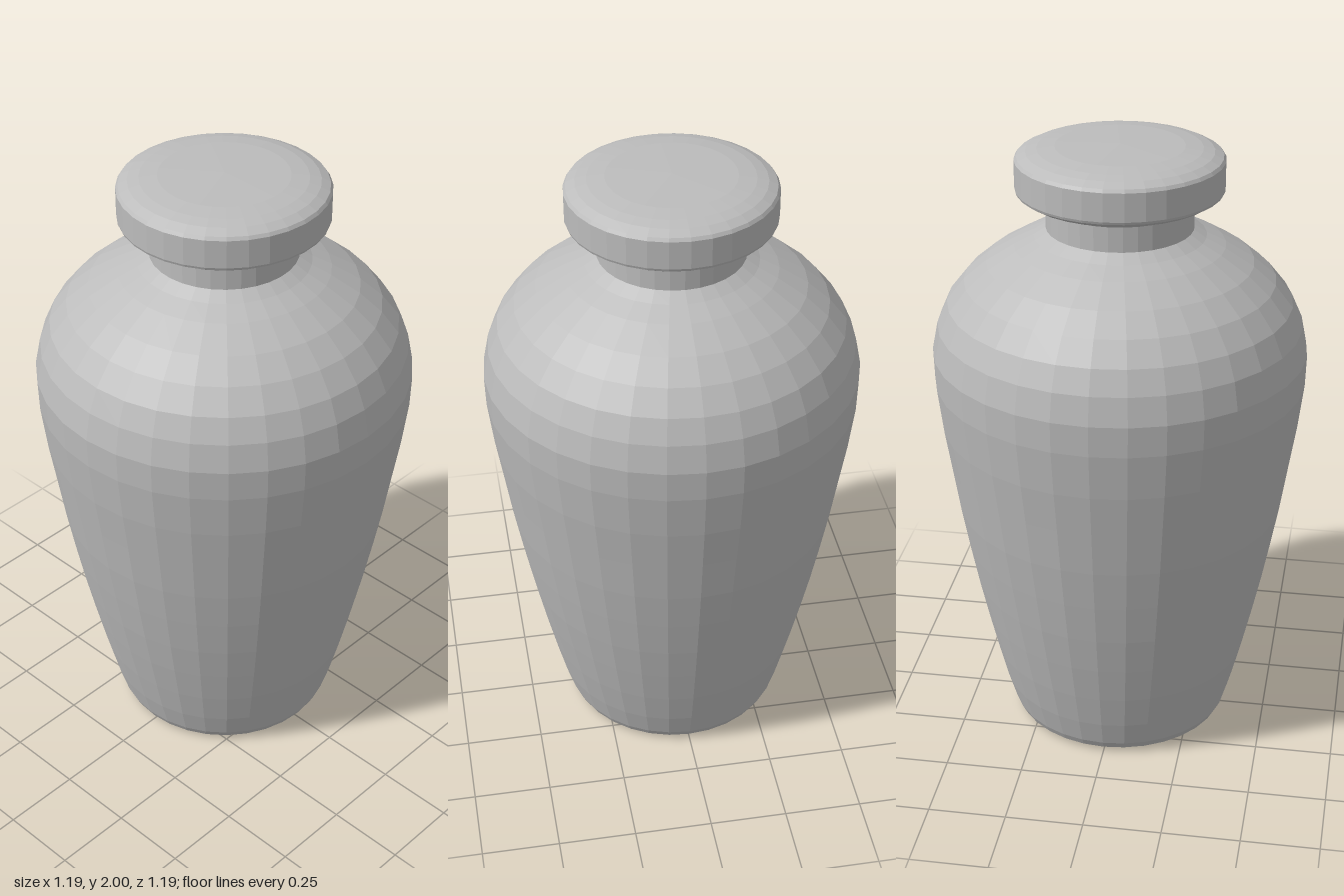
import * as THREE from 'three';

const SIDES = 32;

// Faceted solid of revolution from [radius, height] pairs, bottom to top
function turned(name, profile, material) {
  const points = profile.map(([r, y]) => new THREE.Vector2(r, y));
  const geometry = new THREE.LatheGeometry(points, SIDES).toNonIndexed();
  geometry.computeVertexNormals();
  const mesh = new THREE.Mesh(geometry, material);
  mesh.name = name;
  return mesh;
}

export function createModel() {
  const grey = new THREE.MeshStandardMaterial({ color: 0xbcbcbc });
  grey.name = 'grey';

  const model = new THREE.Group();
  model.name = 'urn';

  // Tapered body: flat foot, rounded shoulder
  model.add(turned('body', [
    [0, 0], [0.33, 0.005], [0.35, 0.015], [0.363, 0.04], [0.39, 0.13],
    [0.42, 0.25], [0.45, 0.38], [0.478, 0.51], [0.505, 0.65], [0.53, 0.79],
    [0.553, 0.94], [0.575, 1.08], [0.593, 1.23], [0.596, 1.33],
    [0.578, 1.42], [0.545, 1.495], [0.49, 1.565], [0.42, 1.625],
    [0.33, 1.68], [0.27, 1.71], [0.231, 1.735],
  ], grey));

  // Straight neck
  model.add(turned('neck', [[0.231, 1.735], [0.231, 1.815]], grey));

  // Lid with flared underside and shallow dome
  model.add(turned('lid', [
    [0.231, 1.815], [0.238, 1.823], [0.262, 1.83], [0.3, 1.843],
    [0.322, 1.857], [0.325, 1.865], [0.325, 1.955], [0.318, 1.965],
    [0.29, 1.979], [0.255, 1.988], [0.2, 1.995], [0, 2],
  ], grey));

  return model;
}
